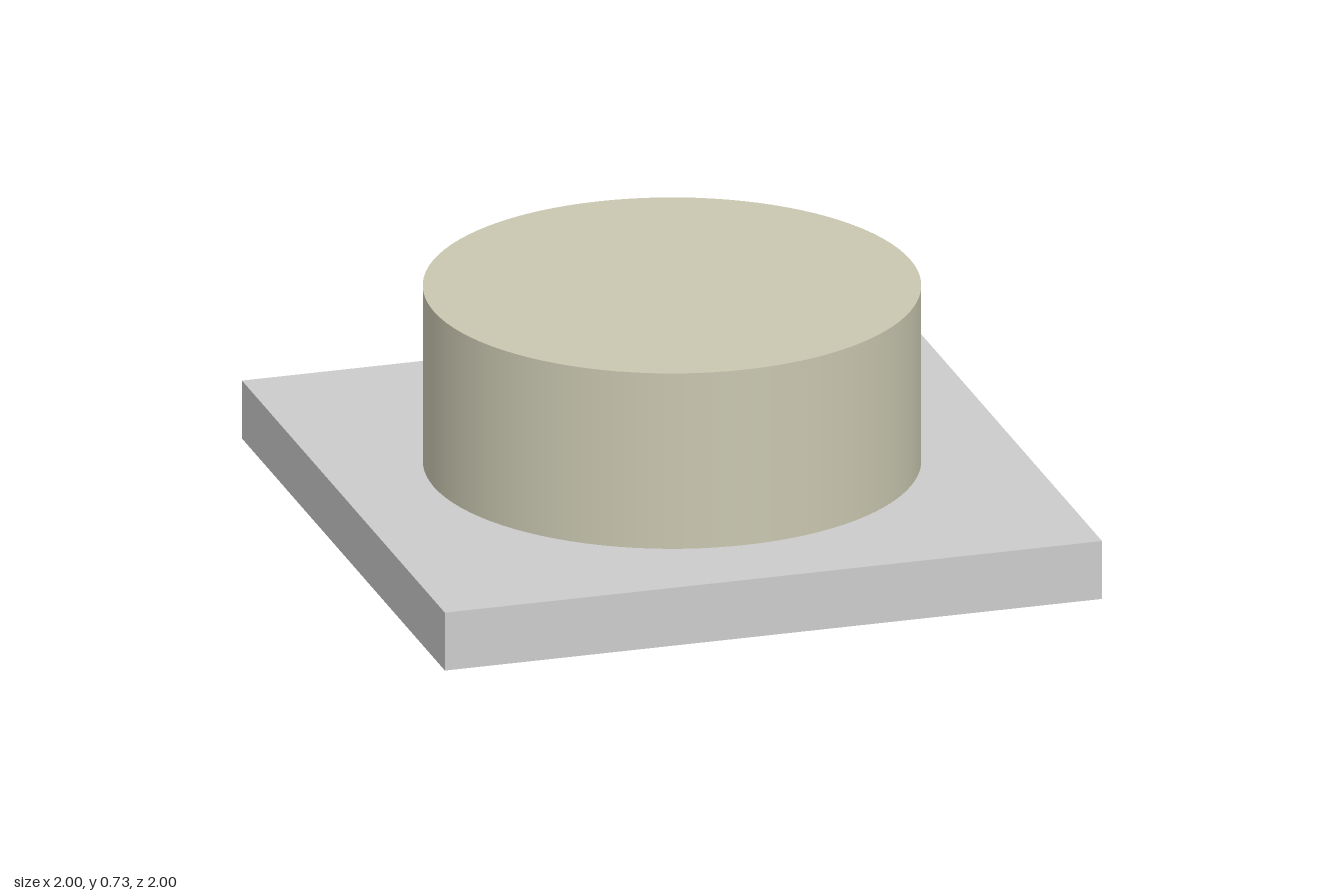
import * as THREE from 'three';

export function createModel() {
  const group = new THREE.Group();
  const grey = new THREE.MeshStandardMaterial({ color: 0xcccccc });
  const cream = new THREE.MeshStandardMaterial({ color: 0xc9c7b0 });

  const boardHeight = 0.18;
  const cakeHeight = 0.545;

  function add(name, geometry, material, x, y, z) {
    const mesh = new THREE.Mesh(geometry, material);
    mesh.name = name;
    mesh.position.set(x, y, z);
    group.add(mesh);
    return mesh;
  }

  // Square board
  add('board', new THREE.BoxGeometry(2, boardHeight, 2), grey, 0, boardHeight / 2, 0);

  // Round cake standing on the board
  add('cake', new THREE.CylinderGeometry(0.725, 0.725, cakeHeight, 96), cream,
    0, boardHeight + cakeHeight / 2, 0);

  // Thin blank label lying at the front right corner
  const label = add('label', new THREE.PlaneGeometry(0.32, 0.16), grey,
    -0.72, boardHeight + 0.002, 0.795);
  label.rotation.x = -Math.PI / 2;

  return group;
}
